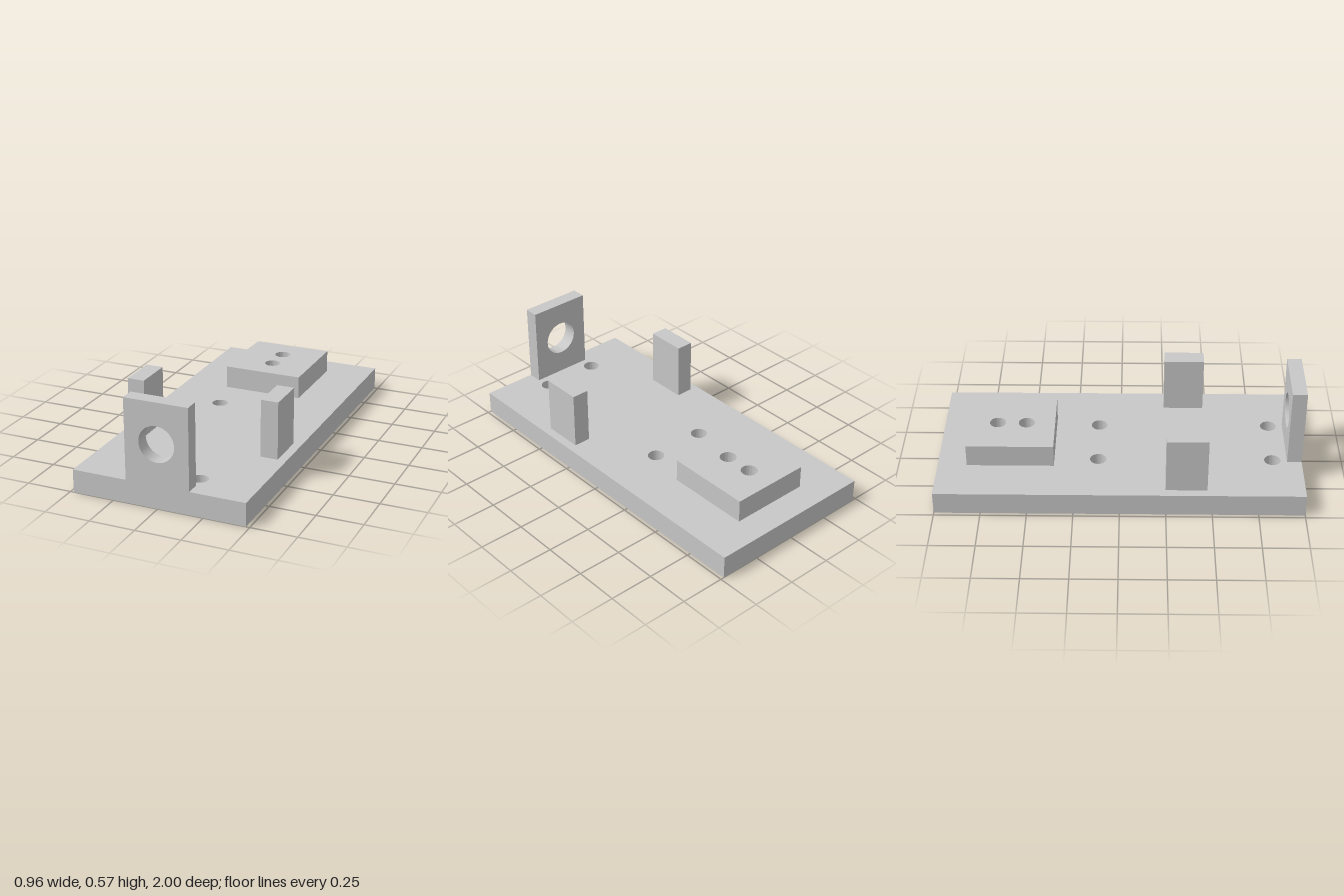
import * as THREE from 'three';
import { toCreasedNormals } from 'three/addons/utils/BufferGeometryUtils.js';

const steel = new THREE.MeshStandardMaterial({ color: 0xc7c7c7 });
steel.name = 'light grey';

const BASE_TOP = 0.128, RECESS = 0.064, HOLE = 0.045;

function rect(x0, y0, x1, y1) {
  return new THREE.Shape([[x0, y0], [x1, y0], [x1, y1], [x0, y1]].map(p => new THREE.Vector2(...p)));
}

function circle(x, y, r) {
  return new THREE.Path().absarc(x, y, r, 0, Math.PI * 2, true);
}

function extrude(shape, depth) {
  const geometry = new THREE.ExtrudeGeometry(shape, { depth, bevelEnabled: false, curveSegments: 32 });
  return toCreasedNormals(geometry, 0.6);
}

// Horizontal slab between two heights; the shape's y axis is the model's -z
function slab(shape, y0, y1) {
  return extrude(shape, y1 - y0).rotateX(-Math.PI / 2).translate(0, y0, 0);
}

export function createModel() {
  const model = new THREE.Group();
  model.name = 'mountingBracket';
  const add = (name, geometry) => {
    const mesh = new THREE.Mesh(geometry, steel);
    mesh.name = name;
    model.add(mesh);
  };

  const mountHoles = [];
  for (const x of [-0.16, 0.16]) for (const z of [-0.12, 0.84]) mountHoles.push([x, -z]);
  const padHoles = [[0, 0.52], [0, 0.68]];
  const drill = (shape, points) => points.forEach(([x, y]) => shape.holes.push(circle(x, y, HOLE)));

  // Lower half of the base, with two overlapping round recesses
  const lower = rect(-0.48, -1, 0.48, 1);
  drill(lower, mountHoles);
  const R = 0.174, t = Math.asin(0.08 / R);
  const recess = new THREE.Path();
  recess.absarc(0, 0.52, R, t, Math.PI - t, true);
  recess.absarc(0, 0.68, R, Math.PI + t, -t, true);
  lower.holes.push(recess);
  add('baseLower', slab(lower, 0, RECESS));

  // Upper half of the base
  const upper = rect(-0.48, -1, 0.48, 1);
  drill(upper, [...mountHoles, ...padHoles]);
  add('baseUpper', slab(upper, RECESS, BASE_TOP));

  // Raised rear pad
  const pad = rect(-0.225, 0.362, 0.225, 0.84);
  drill(pad, padHoles);
  add('rearPad', slab(pad, BASE_TOP, 0.256));

  // Side posts
  for (const [name, s] of [['leftPost', 1], ['rightPost', -1]]) {
    add(name, new THREE.BoxGeometry(0.096, 0.447 - BASE_TOP, 0.224)
      .translate(s * 0.384, (0.447 + BASE_TOP) / 2, 0.36));
  }

  // Upright front plate with a large bore
  const plate = rect(-0.176, BASE_TOP, 0.176, 0.575);
  plate.holes.push(circle(0, 0.352, 0.098));
  add('frontPlate', extrude(plate, 0.08).translate(0, 0, 0.92));

  return model;
}
